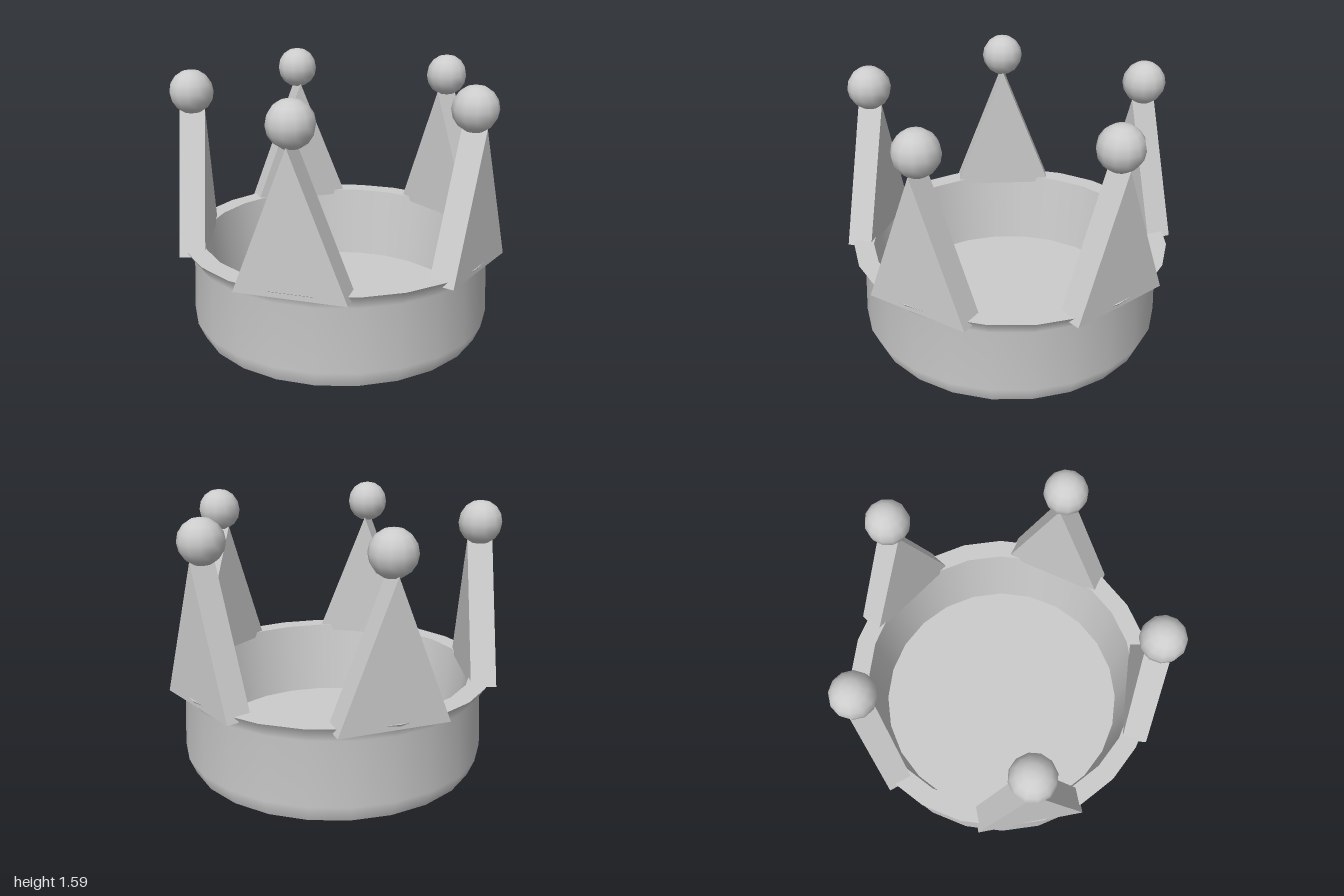
import * as THREE from 'three';

const SIDES = 24;
const POINTS = 5;

export function createModel() {
  const crown = new THREE.Group();
  crown.name = 'crown';
  const grey = new THREE.MeshStandardMaterial({ color: 0xcccccc });
  grey.name = 'plain grey';

  // Each strip of the ring is its own lathe, so the edges between strips stay sharp
  const strips = {
    base: [[0, 0], [0.875, 0]],
    outerBand: [[0.875, 0], [0.917, 0.1], [0.9, 0.48], [0.96, 0.572]],
    rim: [[0.96, 0.572], [0.842, 0.572]],
    innerWall: [[0.842, 0.572], [0.782, 0.11]],
    floor: [[0.782, 0.11], [0, 0.11]],
  };
  const ring = new THREE.Group();
  ring.name = 'ring';
  for (const [name, profile] of Object.entries(strips)) {
    const points = profile.map(([r, y]) => new THREE.Vector2(r, y));
    const mesh = new THREE.Mesh(new THREE.LatheGeometry(points, SIDES, Math.PI / SIDES), grey);
    mesh.name = name;
    ring.add(mesh);
  }
  crown.add(ring);

  // Triangular spike, standing on the rim and facing outwards
  const triangle = new THREE.Shape([
    new THREE.Vector2(-0.32, 0.54),
    new THREE.Vector2(0.32, 0.54),
    new THREE.Vector2(0, 1.355),
  ]);
  const spikeGeometry = new THREE.ExtrudeGeometry(triangle, { depth: 0.15, bevelEnabled: false });
  spikeGeometry.translate(0, 0, 0.8);

  // Ball on the tip of the spike
  const ballGeometry = new THREE.SphereGeometry(0.13, 12, 8);
  ballGeometry.translate(0, 1.458, 0.873);

  for (let i = 0; i < POINTS; i++) {
    const point = new THREE.Group();
    point.name = `crownPoint${i + 1}`;
    const spike = new THREE.Mesh(spikeGeometry, grey);
    spike.name = 'spike';
    const ball = new THREE.Mesh(ballGeometry, grey);
    ball.name = 'ball';
    point.add(spike, ball);
    point.rotation.y = (i / POINTS) * Math.PI * 2;
    crown.add(point);
  }

  // Five points are not symmetric front to back, so centre the whole crown
  crown.position.z = -0.025;
  const model = new THREE.Group();
  model.name = 'model';
  model.add(crown);
  return model;
}
